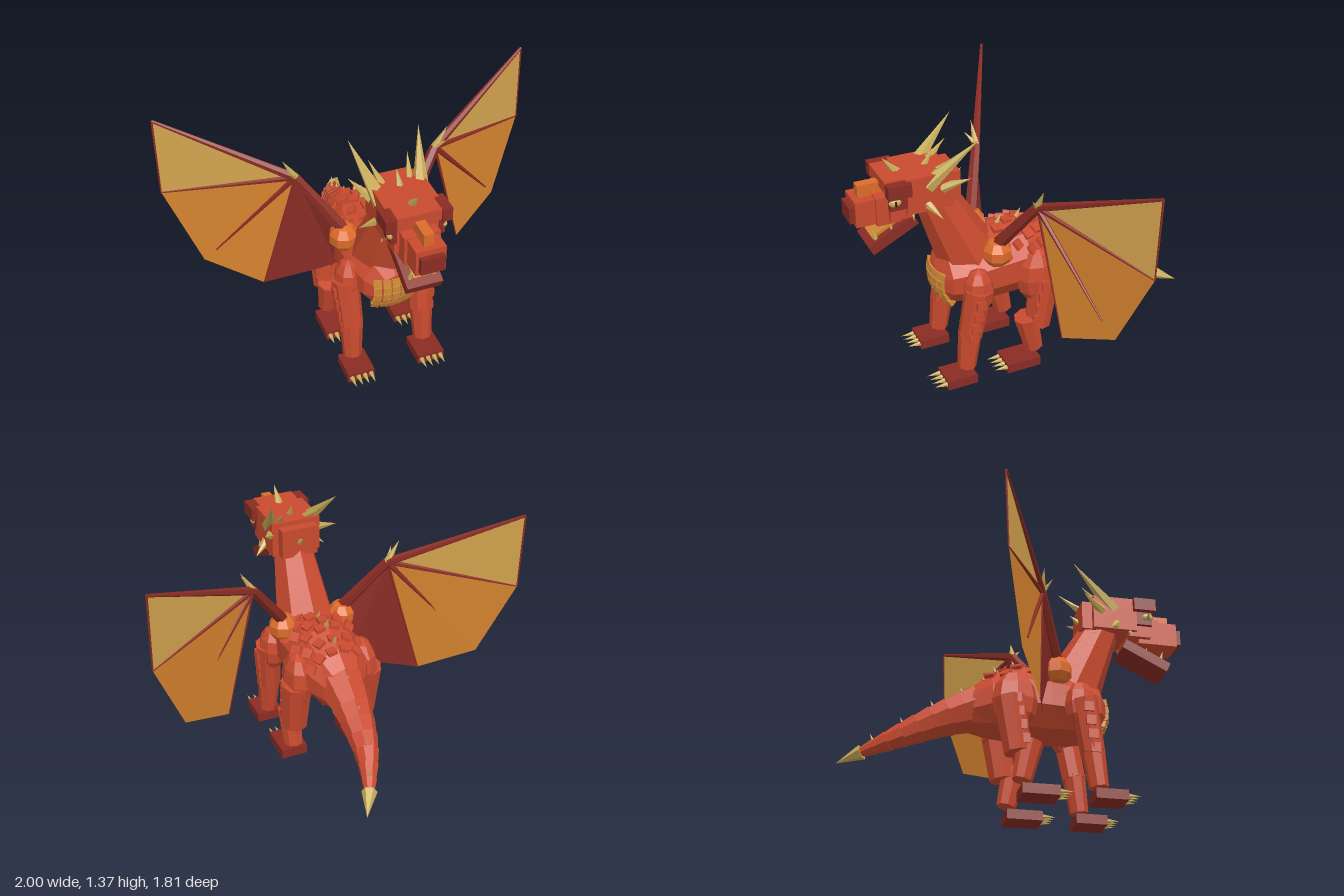
import * as THREE from 'three';

const mat = (name, color, side = THREE.FrontSide) =>
  new THREE.MeshStandardMaterial({ name, color, flatShading: true, side });
const red = mat('scale red', 0xc94a2e);
const dark = mat('dark red', 0x8a2c24);
const orange = mat('orange', 0xdd6b2a);
const gold = mat('horn gold', 0xc8ac58);
const belly = mat('belly amber', 0xcf8836);
const wingOrange = mat('membrane orange', 0xd6832f, THREE.DoubleSide);
const wingGold = mat('membrane gold', 0xd4a44e, THREE.DoubleSide);
const wingRed = mat('membrane red', 0x8a2c26, THREE.DoubleSide);
const black = mat('pupil black', 0x241a14);

const V = (p) => new THREE.Vector3(...p);
const UP = new THREE.Vector3(0, 1, 0);

// Body cross-sections from chest to rump: z, centre y, half width, half height
const SECTIONS = [
  [0.475, 0.53, 0, 0], [0.47, 0.53, 0.09, 0.09], [0.42, 0.55, 0.16, 0.15], [0.3, 0.56, 0.2, 0.18],
  [0.15, 0.57, 0.205, 0.2], [0, 0.58, 0.205, 0.205], [-0.15, 0.555, 0.175, 0.165],
  [-0.24, 0.53, 0.12, 0.125], [-0.26, 0.53, 0, 0],
];

function bodyGeometry(sides = 10) {
  const pos = [], idx = [];
  for (const [z, y, rx, ry] of SECTIONS)
    for (let j = 0; j < sides; j++) {
      const a = ((j + 0.5) / sides) * Math.PI * 2;
      pos.push(rx * Math.cos(a), y + ry * Math.sin(a), z);
    }
  for (let i = 0; i < SECTIONS.length - 1; i++)
    for (let j = 0; j < sides; j++) {
      const k = (j + 1) % sides, a = i * sides + j, b = i * sides + k;
      idx.push(a, a + sides, b, b, a + sides, b + sides);
    }
  const g = new THREE.BufferGeometry();
  g.setAttribute('position', new THREE.Float32BufferAttribute(pos, 3));
  g.setIndex(idx);
  g.computeVertexNormals();
  return g;
}

// Point on the body skin at a given z, angle measured from straight up
function bodyPoint(z, a) {
  const i = SECTIONS.findIndex((s) => s[0] <= z);
  const p = SECTIONS[i - 1], q = SECTIONS[i];
  const t = (p[0] - z) / (p[0] - q[0]);
  const [, y, rx, ry] = p.map((v, k) => v + (q[k] - v) * t);
  return [rx * Math.sin(a), y + ry * Math.cos(a), z];
}

export function createModel() {
  const root = new THREE.Group();
  root.name = 'dragon';

  const add = (name, geo, m, p = [0, 0, 0]) => {
    const mesh = new THREE.Mesh(geo, m);
    mesh.name = name;
    mesh.position.set(...p);
    root.add(mesh);
    return mesh;
  };
  const box = (name, m, size, p) => add(name, new THREE.BoxGeometry(...size), m, p);
  // Tapered cylinder from a to b
  const limb = (name, m, a, b, r0, r1, sides = 8) => {
    const d = V(b).sub(V(a));
    const mesh = add(name, new THREE.CylinderGeometry(r1, r0, d.length(), sides), m);
    mesh.position.copy(V(a)).addScaledVector(d, 0.5);
    mesh.quaternion.setFromUnitVectors(UP, d.normalize());
    return mesh;
  };
  const spike = (name, a, b, r) => limb(name, gold, a, b, r, 0, 6);
  const ball = (name, m, p, r, w = 8, h = 6) =>
    add(name, new THREE.SphereGeometry(1, w, h), m, p).scale.set(...r);
  const sheet = (name, m, pts) => {
    const g = new THREE.BufferGeometry().setFromPoints(pts.map(V));
    g.setIndex(pts.slice(2).flatMap((_, i) => [0, i + 1, i + 2]));
    g.computeVertexNormals();
    return add(name, g, m);
  };

  add('body', bodyGeometry(), red);

  // Raised back scales
  for (let i = 0; i < 6; i++)
    for (let j = -2; j <= 2; j++) {
      const a = (j + (i % 2) * 0.5) * 0.42;
      const s = box('backScale', red, [0.05, 0.02, 0.05], bodyPoint(0.2 - i * 0.07, a));
      s.rotation.set(0, 0.35 * j, -a);
    }
  for (const z of [0.2, 0.11, 0, -0.1]) {
    const p = bodyPoint(z, 0);
    spike('backSpike', p, [0, p[1] + 0.05, z - 0.025], 0.014);
  }

  // Chest plates
  for (let i = 0; i < 5; i++)
    for (let j = 0; j < 5; j++) {
      const x = (i - 2) * 0.044, y = 0.425 + j * 0.04;
      const z = 0.475 - 2.2 * x * x - 3 * (y - 0.54) ** 2;
      box('chestPlate', belly, [0.041, 0.037, 0.035], [x, y, z]).rotation.set((0.54 - y) * 4, x * 4, 0);
    }

  // Neck rings
  const neckAt = (t) => [0, 0.6 + 0.46 * t, 0.26 + 0.21 * t];
  for (let i = 0; i < 6; i++) {
    const t = i / 6, r = 0.172 - 0.07 * t;
    limb('neckRing', red, neckAt(t), neckAt(t + 0.19), r, r - 0.014, 8);
  }

  // Tail rings along a sideways curve
  const tail = new THREE.CatmullRomCurve3([
    [0, 0.54, -0.2], [0.01, 0.46, -0.4], [0.04, 0.365, -0.6], [0.115, 0.29, -0.79]].map(V));
  for (let i = 0; i < 8; i++) {
    const a = tail.getPoint(i / 8), b = tail.getPoint(Math.min(1, (i + 1.12) / 8));
    const r = 0.128 - 0.0125 * i;
    limb('tailRing', red, a.toArray(), b.toArray(), r, r - 0.018, 8);
    if (i % 2) spike('tailSpike', [a.x, a.y + r - 0.015, a.z], [a.x, a.y + r + 0.03, a.z - 0.02], 0.012);
  }
  spike('tailTip', [0.11, 0.295, -0.775], [0.18, 0.25, -0.9], 0.04);

  // Head
  box('cranium', red, [0.27, 0.19, 0.24], [0, 1.11, 0.52]);
  box('backOfHead', red, [0.2, 0.16, 0.08], [0, 1.1, 0.385]);
  box('face', red, [0.23, 0.16, 0.12], [0, 1.07, 0.66]);
  box('forehead', red, [0.22, 0.06, 0.14], [0, 1.175, 0.67]);
  box('upperSnout', red, [0.18, 0.15, 0.12], [0, 1.04, 0.72]);
  box('snout', red, [0.15, 0.135, 0.13], [0, 1.04, 0.815]);
  box('nose', dark, [0.12, 0.085, 0.03], [0, 1.035, 0.892]);
  box('noseRidge', orange, [0.05, 0.07, 0.13], [0, 1.135, 0.785]);
  const jaw = box('lowerJaw', dark, [0.18, 0.055, 0.27], [0, 0.895, 0.7]);
  jaw.rotation.x = 0.47;
  box('tongue', belly, [0.1, 0.02, 0.2], [0, 0.928, 0.71]).rotation.x = 0.47;
  spike('crestSpike', [0, 1.19, 0.64], [0, 1.28, 0.71], 0.025);
  spike('crownSpike', [0, 1.19, 0.5], [0, 1.27, 0.45], 0.02);
  spike('napeSpike', [0, 1.1, 0.35], [0, 1.14, 0.3], 0.018);

  for (const s of [-1, 1]) {
    const M = (x, y, z) => [s * x, y, z];

    // Face details and horns
    box('brow', dark, [0.05, 0.07, 0.12], M(0.14, 1.165, 0.68));
    box('eyeSocket', dark, [0.03, 0.08, 0.09], M(0.12, 1.095, 0.68));
    ball('eye', gold, M(0.135, 1.1, 0.7), [0.017, 0.022, 0.033], 8, 6);
    box('pupil', black, [0.006, 0.026, 0.009], M(0.151, 1.1, 0.7));
    spike('greatHorn', M(0.1, 1.14, 0.52), M(0.18, 1.365, 0.28), 0.045);
    spike('sideHorn', M(0.12, 1.12, 0.45), M(0.2, 1.18, 0.33), 0.03);
    spike('innerHorn', M(0.06, 1.17, 0.48), M(0.1, 1.27, 0.34), 0.025);
    spike('cheekHorn', M(0.12, 1.05, 0.53), M(0.2, 0.99, 0.48), 0.025);
    spike('jawHorn', M(0.1, 1.04, 0.6), M(0.14, 0.98, 0.61), 0.018);
    spike('frontTooth', M(0.06, 0.865, 0.78), M(0.06, 0.94, 0.8), 0.016);
    spike('backTooth', M(0.065, 0.91, 0.7), M(0.065, 0.955, 0.71), 0.012);

    // Foreleg
    ball('shoulder', red, M(0.19, 0.52, 0.3), [0.075, 0.13, 0.085]);
    limb('upperForeleg', red, M(0.21, 0.54, 0.31), M(0.195, 0.26, 0.355), 0.072, 0.064);
    limb('lowerForeleg', red, M(0.195, 0.28, 0.355), M(0.2, 0.075, 0.38), 0.062, 0.05);
    // Hind leg
    ball('haunch', red, M(0.185, 0.52, -0.04), [0.078, 0.16, 0.12]);
    limb('thigh', red, M(0.2, 0.52, -0.07), M(0.2, 0.23, -0.03), 0.085, 0.07);
    limb('lowerHindLeg', red, M(0.2, 0.29, 0.035), M(0.2, 0.085, -0.01), 0.068, 0.052);
    // Leg scales on the outer side
    for (let i = 0; i < 4; i++) {
      box('foreLegScale', red, [0.015, 0.05, 0.05], M(0.275 - i * 0.008, 0.48 - i * 0.07, 0.32 + i * 0.012));
      box('hindLegScale', red, [0.015, 0.05, 0.05], M(0.268 - i * 0.004, 0.5 - i * 0.07, -0.05 + i * 0.015));
    }

    // Feet with claws
    for (const z of [0.43, 0.075]) {
      const d = z > 0.3 ? 0.165 : 0.19;
      box('foot', dark, [0.145, 0.052, d], M(0.197, 0.026, z));
      for (let i = 0; i < 4; i++) {
        const x = 0.144 + i * 0.035;
        spike('claw', M(x, 0.028, z + d / 2 - 0.01), M(x, 0.028, z + d / 2 + 0.07), 0.015);
      }
    }

    // Wing bones
    const wrist = M(0.375, 1.045, 0.06), tip = M(0.995, 1.33, -0.25);
    const outer = M(0.995, 0.91, -0.235), mid = M(0.83, 0.495, -0.14), inner = M(0.555, 0.37, 0.005);
    ball('wingJoint', orange, M(0.17, 0.71, 0.185), [0.08, 0.08, 0.08], 8, 5);
    limb('wingArm', dark, M(0.16, 0.74, 0.19), wrist, 0.035, 0.026, 6);
    limb('leadingFinger', dark, wrist, tip, 0.024, 0.008, 6);
    limb('upperFinger', dark, wrist, outer, 0.016, 0.004, 6);
    limb('middleFinger', dark, wrist, M(0.77, 0.575, -0.1), 0.016, 0.004, 6);
    limb('innerFinger', dark, wrist, inner, 0.008, 0.003, 6);
    limb('outerRim', dark, tip, outer, 0.006, 0.004, 5);
    spike('wristThorn', wrist, M(0.44, 1.16, 0.06), 0.022);
    spike('thumbThorn', wrist, M(0.42, 1.11, 0.11), 0.016);

    // Wing membranes
    sheet('upperMembrane', wingGold, [wrist, tip, outer]);
    sheet('lowerMembrane', wingOrange, [wrist, outer, mid, inner]);
    if (s < 0)
      sheet('innerMembrane', wingRed, [wrist, inner, M(0.27, 0.44, 0.08), M(0.18, 0.47, 0.1), M(0.17, 0.73, 0.17)]);
  }
  return root;
}
